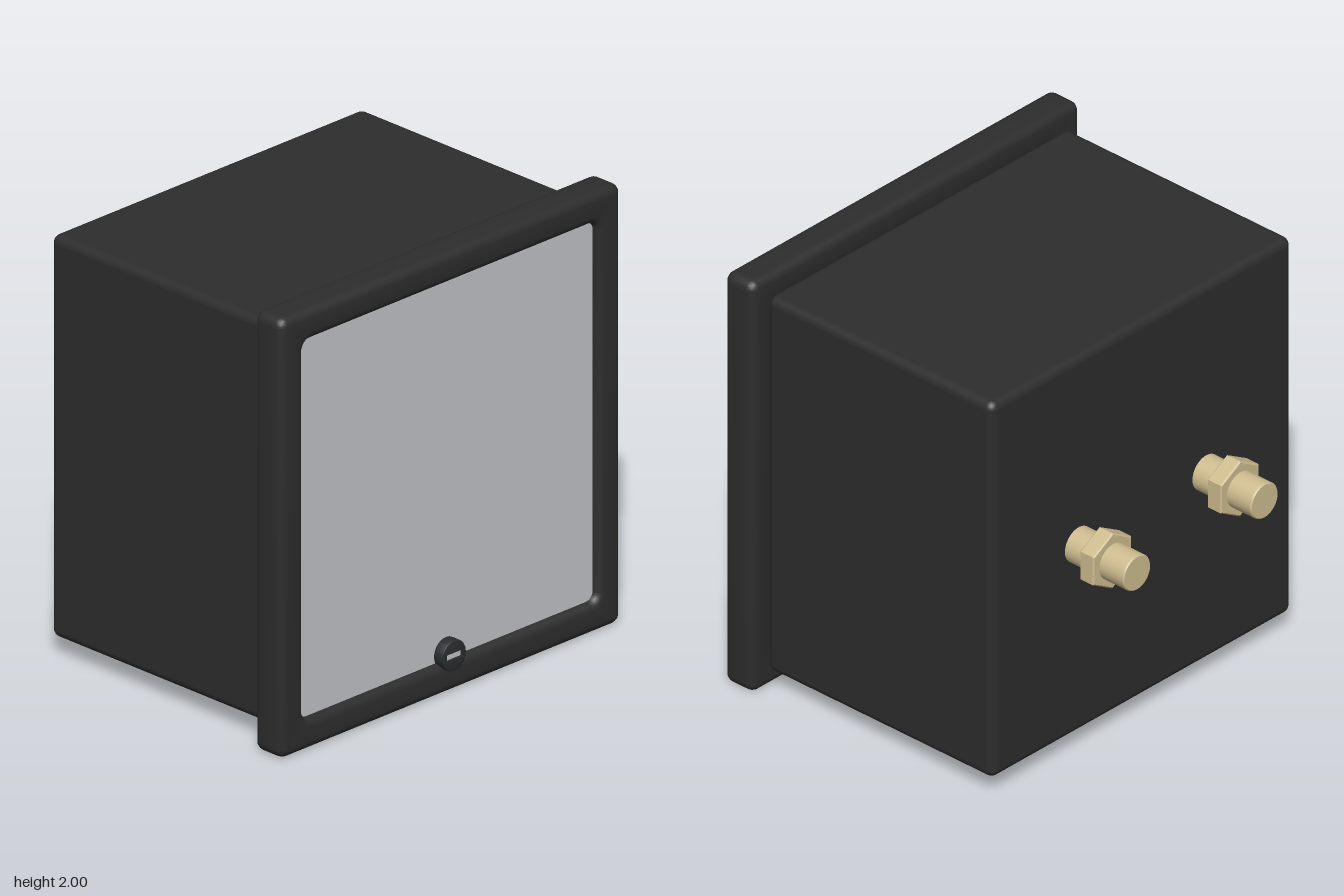
import * as THREE from 'three';
import { toCreasedNormals } from 'three/addons/utils/BufferGeometryUtils.js';
import { RoundedBoxGeometry } from 'three/addons/geometries/RoundedBoxGeometry.js';

const mat = (name, color) => {
  const m = new THREE.MeshStandardMaterial({ color });
  m.name = name;
  return m;
};

// Rounded square outline centred on the origin, half = half its side
function roundedSquare(half, r, Type = THREE.Shape) {
  const s = new Type();
  const c = half - r;
  s.moveTo(c, -half);
  s.absarc(c, -c, r, -Math.PI / 2, 0, false);
  s.absarc(c, c, r, 0, Math.PI / 2, false);
  s.absarc(-c, c, r, Math.PI / 2, Math.PI, false);
  s.absarc(-c, -c, r, Math.PI, Math.PI * 1.5, false);
  s.closePath();
  return s;
}

// Extrusion with rounded edges that keeps the outline's full size, from z0 to z1
function bevelled(shape, z0, z1, bevel, segments) {
  const g = new THREE.ExtrudeGeometry(shape, {
    depth: z1 - z0 - 2 * bevel,
    bevelThickness: bevel,
    bevelSize: bevel,
    bevelOffset: -bevel,
    bevelSegments: segments,
    curveSegments: 10,
  });
  g.translate(0, 0, z0 + bevel);
  return toCreasedNormals(g, 0.6);
}

export function createModel() {
  const group = new THREE.Group();
  const black = mat('black housing', 0x2d2d2d);
  const screwBlack = mat('dark screw', 0x2a2e2e);
  const grey = mat('grey glass', 0xc4c5c9);
  const brass = mat('brass', 0xcfbd90);

  const add = (name, geometry, material, x, y, z, parent = group) => {
    const m = new THREE.Mesh(geometry, material);
    m.name = name;
    m.position.set(x, y, z);
    parent.add(m);
    return m;
  };

  // Housing box
  add('housing', new RoundedBoxGeometry(1.83, 1.83, 1.28, 4, 0.04), black, 0, 1, 0.075);

  // Front bezel with its window opening
  const bezel = roundedSquare(1, 0.045);
  bezel.holes.push(roundedSquare(0.86, 0.04, THREE.Path));
  add('bezel', bevelled(bezel, 0.715, 0.88, 0.04, 5), black, 0, 1, 0);

  // Window pane
  add('windowPane', new THREE.BoxGeometry(1.74, 1.74, 0.008), grey, 0, 1, 0.841);

  // Slotted adjusting screw, with a light plate in the slot
  const screw = new THREE.Group();
  screw.name = 'adjustingScrew';
  screw.position.set(0, 0.17, 0);
  group.add(screw);
  const head = new THREE.Shape().absarc(0, 0, 0.07, 0, Math.PI * 2, false);
  const slot = new THREE.Path();
  slot.moveTo(-0.042, -0.012).lineTo(-0.042, 0.012).lineTo(0.042, 0.012).lineTo(0.042, -0.012);
  slot.closePath();
  head.holes.push(slot);
  add('screwHead', bevelled(head, 0.838, 0.896, 0.006, 2), screwBlack, 0, 0, 0, screw);
  add('screwSlot', new THREE.BoxGeometry(0.088, 0.028, 0.008), grey, 0, 0, 0.885, screw);

  // Hexagonal nut outline with corners up and down
  const hex = new THREE.Shape();
  for (let i = 0; i < 6; i++) {
    const a = Math.PI / 2 + (i * Math.PI) / 3;
    hex[i ? 'lineTo' : 'moveTo'](Math.cos(a) * 0.135, Math.sin(a) * 0.135);
  }
  hex.closePath();
  const nutGeometry = bevelled(hex, -0.04, 0.04, 0.006, 1);

  // Threaded rod, rounded at its end
  const rodGeometry = toCreasedNormals(new THREE.LatheGeometry([
    [0, 0], [0.083, 0], [0.083, 0.352], [0.078, 0.358], [0, 0.358],
  ].map(([r, y]) => new THREE.Vector2(r, y)), 40), 0.6);
  rodGeometry.rotateX(-Math.PI / 2);

  // Pair of terminals on the back
  for (const side of [-1, 1]) {
    const terminal = new THREE.Group();
    terminal.name = side > 0 ? 'leftTerminal' : 'rightTerminal';
    terminal.position.set(side * 0.388, 1.003, 0);
    group.add(terminal);
    add('rod', rodGeometry, brass, 0, 0, -0.54, terminal);
    add('nut', nutGeometry, brass, 0, 0, -0.72, terminal);
  }
  return group;
}
